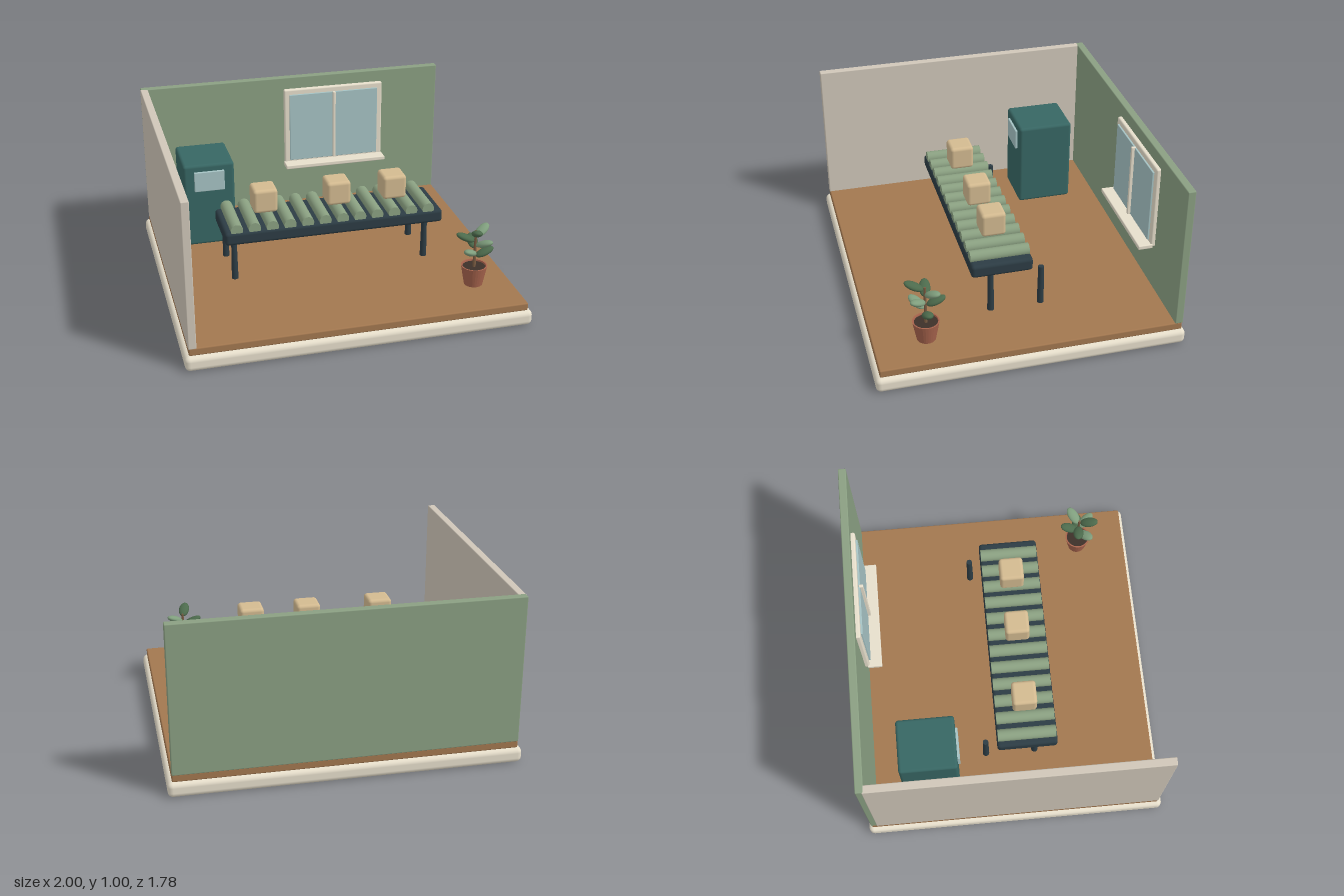
import * as THREE from 'three';
import { RoundedBoxGeometry } from 'three/addons/geometries/RoundedBoxGeometry.js';

const colors = {
  cream: 0xe6decb, wood: 0xa2774f, green: 0x8a9f82, plaster: 0xcfc6b8, teal: 0x376663,
  dark: 0x2c3c44, roller: 0x8aa081, carton: 0xd3ba90, clay: 0xa8644d, soil: 0x3d3029,
  glass: 0xa5c2c3, leafDark: 0x4c6a4c, leafLight: 0x7f9e7d, stem: 0x7a5c42,
};
const materials = {};
for (const key in colors) materials[key] = new THREE.MeshStandardMaterial({ color: colors[key] });

function add(parent, name, geometry, color, x = 0, y = 0, z = 0) {
  const mesh = new THREE.Mesh(geometry, materials[color]);
  mesh.name = name;
  mesh.position.set(x, y, z);
  parent.add(mesh);
  return mesh;
}

// Rounded box given by its [min, max] range on each axis
function block(parent, name, color, [x0, x1], [y0, y1], [z0, z1], radius) {
  const geometry = new RoundedBoxGeometry(x1 - x0, y1 - y0, z1 - z0, 3, radius);
  return add(parent, name, geometry, color, (x0 + x1) / 2, (y0 + y1) / 2, (z0 + z1) / 2);
}

function group(parent, name) {
  const g = new THREE.Group();
  g.name = name;
  parent.add(g);
  return g;
}

function buildRoom(root) {
  const room = group(root, 'room');
  block(room, 'base', 'cream', [-1, 1], [0, 0.09], [-0.89, 0.89], 0.03);
  block(room, 'floor', 'wood', [-0.975, 0.975], [0.088, 0.135], [-0.87, 0.865], 0.008);
  block(room, 'backWall', 'green', [-0.975, 0.975], [0.13, 1.003], [-0.875, -0.828], 0.006);
  block(room, 'sideWall', 'plaster', [-0.978, -0.932], [0.13, 1.002], [-0.84, 0.867], 0.006);
}

function buildWindow(root) {
  const win = group(root, 'window');
  block(win, 'windowFrame', 'cream', [-0.063, 0.595], [0.41, 0.927], [-0.835, -0.803], 0.01);
  block(win, 'windowGlass', 'glass', [-0.03, 0.56], [0.44, 0.893], [-0.81, -0.792], 0.003);
  block(win, 'windowMullion', 'cream', [0.256, 0.274], [0.44, 0.897], [-0.8, -0.774], 0.004);
  block(win, 'windowSill', 'cream', [-0.07, 0.6], [0.403, 0.43], [-0.815, -0.727], 0.006);
}

function buildCabinet(root) {
  const cabinet = group(root, 'cabinet');
  block(cabinet, 'cabinetBody', 'teal', [-0.803, -0.49], [0.14, 0.675], [-0.657, -0.318], 0.018);
  block(cabinet, 'cabinetScreen', 'glass', [-0.739, -0.553], [0.505, 0.632], [-0.325, -0.304], 0.004);
}

function buildConveyor(root) {
  const conveyor = group(root, 'conveyor');
  block(conveyor, 'conveyorFrame', 'dark', [-0.657, 0.652], [0.411, 0.491], [-0.081, 0.275], 0.02);

  // Row of rollers lying across the frame
  const rollerGeometry = new THREE.CylinderGeometry(0.036, 0.036, 0.343, 24).rotateX(Math.PI / 2);
  for (let i = 0; i < 12; i++) {
    add(conveyor, 'roller', rollerGeometry, 'roller', -0.588 + i * 0.1047, 0.503, 0.097);
  }

  // Four legs
  const legGeometry = new THREE.CylinderGeometry(0.0165, 0.02, 0.25, 16);
  for (const x of [-0.588, 0.582]) {
    for (const z of [-0.147, 0.15]) add(conveyor, 'leg', legGeometry, 'dark', x, 0.258, z);
  }

  // Cartons riding on the rollers
  const cartonGeometry = new RoundedBoxGeometry(0.143, 0.145, 0.143, 3, 0.02);
  for (const x of [-0.395, 0.044, 0.386]) {
    add(conveyor, 'carton', cartonGeometry, 'carton', x, 0.6165, 0.097);
  }
}

function buildPlant(root) {
  const plant = group(root, 'plant');
  plant.position.set(0.753, 0.135, 0.562);

  // Open pot with a wall thickness and soil inside
  const profile = [[0, 0], [0.054, 0], [0.077, 0.121], [0.069, 0.121], [0.066, 0.108]]
    .map(([r, y]) => new THREE.Vector2(r, y));
  const pot = new THREE.LatheGeometry(profile, 28).toNonIndexed();
  pot.computeVertexNormals();
  add(plant, 'pot', pot, 'clay');
  add(plant, 'soil', new THREE.CylinderGeometry(0.069, 0.066, 0.01, 28), 'soil', 0, 0.107, 0);
  add(plant, 'stem', new THREE.CylinderGeometry(0.007, 0.01, 0.24, 10), 'stem', 0, 0.225, 0);

  // Leaves spiral up the stem, each tilted upward and outward
  const leafGeometry = new THREE.SphereGeometry(1, 20, 14).scale(0.058, 0.02, 0.032);
  for (let i = 0; i < 7; i++) {
    const angle = i * 2.4;
    const leaf = add(plant, 'leaf', leafGeometry, i % 2 ? 'leafLight' : 'leafDark',
      Math.cos(angle) * 0.06, 0.2 + i * 0.0255, Math.sin(angle) * 0.06);
    leaf.rotation.set(0, -angle, 0.42, 'YXZ');
  }
}

export function createModel() {
  const root = new THREE.Group();
  root.name = 'factoryRoom';
  buildRoom(root);
  buildWindow(root);
  buildCabinet(root);
  buildConveyor(root);
  buildPlant(root);
  return root;
}
